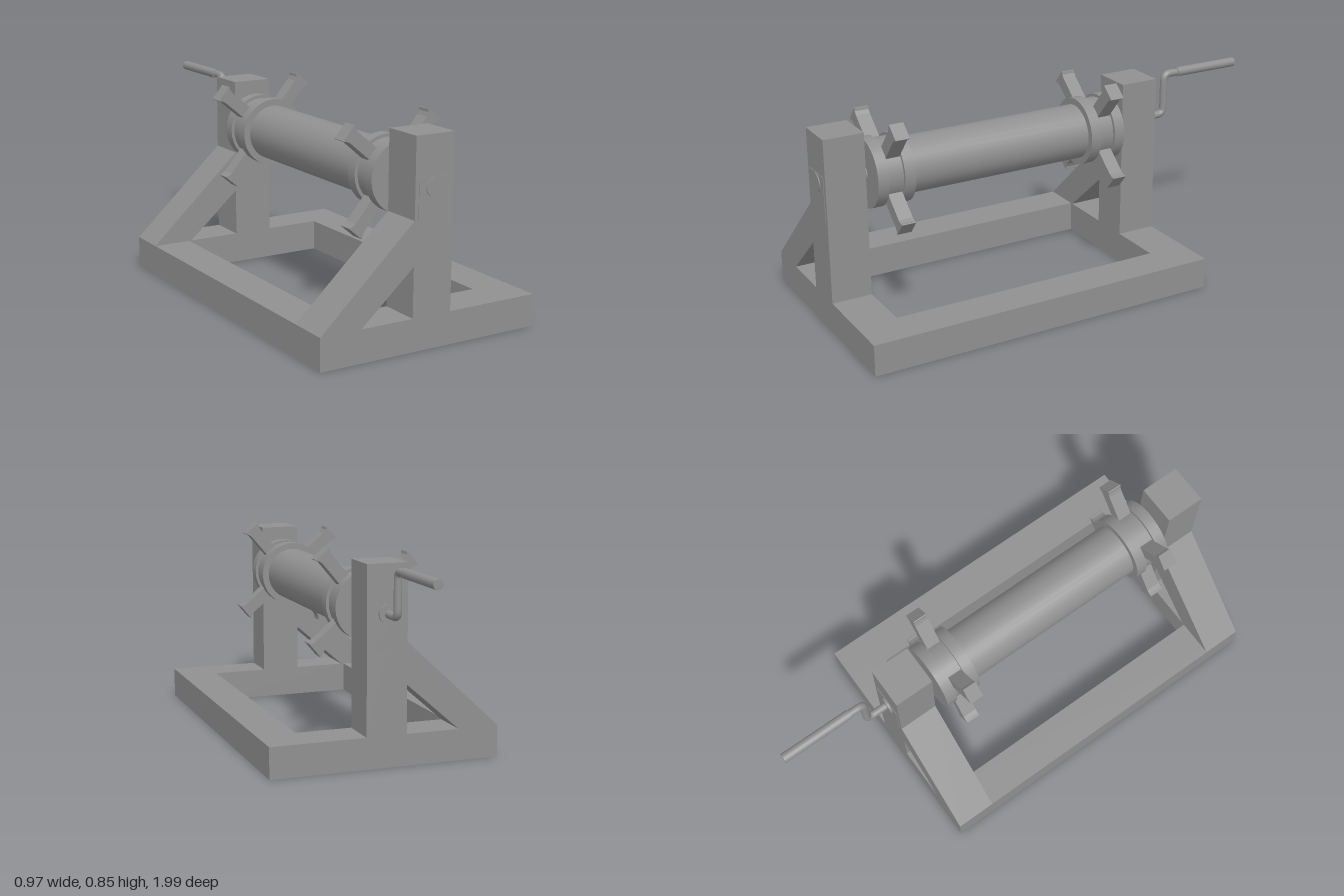
import * as THREE from 'three';

const AXIS_Y = 0.615;
const BASE_H = 0.13;
const POST_Z = [0.9, -0.445]; // front and back frame centres
const FRAME_D = 0.168;

export function createModel() {
  const grey = new THREE.MeshStandardMaterial({ color: 0x909090 });
  grey.name = 'grey';
  const greyOpen = grey.clone();
  greyOpen.name = 'grey';
  greyOpen.side = THREE.DoubleSide;

  const model = new THREE.Group();
  model.name = 'windlass';

  const add = (name, geo, x = 0, y = 0, z = 0, mat = grey) => {
    const mesh = new THREE.Mesh(geo, mat);
    mesh.name = name;
    mesh.position.set(x, y, z);
    model.add(mesh);
    return mesh;
  };
  const box = (name, w, h, d, x, y, z) => add(name, new THREE.BoxGeometry(w, h, d), x, y, z);
  const polygon = (pts) => new THREE.Shape(pts.map(([x, y]) => new THREE.Vector2(x, y)));
  const extrude = (pts, depth) =>
    new THREE.ExtrudeGeometry(polygon(pts), { depth, bevelEnabled: false }).translate(0, 0, -depth / 2);
  // cylinder lying along z between z0 and z1
  const rod = (name, r, z0, z1, y = AXIS_Y, sides = 32) =>
    add(name, new THREE.CylinderGeometry(r, r, Math.abs(z1 - z0), sides).rotateX(Math.PI / 2), 0, y, (z0 + z1) / 2);

  // Side beams: box channels left open underneath
  const zFront = POST_Z[0] + FRAME_D / 2, zBack = POST_Z[1] - FRAME_D / 2;
  for (const s of [1, -1]) {
    const geo = new THREE.BoxGeometry(0.162, BASE_H, zFront - zBack);
    const idx = Array.from(geo.index.array);
    idx.splice(18, 6); // drop the bottom face
    geo.setIndex(idx);
    geo.clearGroups();
    add('sideBeam', geo, s * 0.402, BASE_H / 2, (zFront + zBack) / 2, greyOpen);
  }

  // End frames: cross beam, post, diagonal brace and bearing plate
  POST_Z.forEach((z, i) => {
    const out = i === 0 ? 1 : -1;
    box('crossBeam', 0.642, BASE_H, FRAME_D, 0, BASE_H / 2, z);
    box('post', 0.17, 0.812 - BASE_H, FRAME_D, 0, (0.812 + BASE_H) / 2, z);
    add('brace', extrude([[-0.483, 0.13], [-0.31, 0.13], [-0.085, 0.328], [-0.085, 0.5]], FRAME_D), 0, 0, z);
    box('bearingPlate', 0.138, 0.185, 0.004, 0, 0.563, z + out * FRAME_D / 2);
  });

  // Axle and drum
  rod('axle', 0.038, 0.99, -0.54);
  rod('drum', 0.115, 0.64, -0.19);

  // Spoke wheels: two flanges around a hub with four flared handles
  const spoke = [[0.1, -0.026], [0.245, -0.026], [0.262, -0.03], [0.272, -0.038],
    [0.275, -0.037], [0.275, 0.037], [0.272, 0.038], [0.262, 0.03], [0.245, 0.026], [0.1, 0.026]];
  for (const z of [0.71, -0.255]) {
    rod('hub', 0.13, z + 0.05, z - 0.05);
    for (const s of [1, -1]) rod('flange', 0.143, z + s * 0.08, z + s * 0.033);
    for (let k = 0; k < 4; k++) {
      const arm = add('spoke', extrude(spoke, 0.06), 0, AXIS_Y, z);
      arm.rotation.z = THREE.MathUtils.degToRad(50 + 90 * k);
    }
  }

  // Crank with rounded bends and a thicker grip
  const v = (y, z) => new THREE.Vector3(0, y, z);
  const top = 0.795, bend = 0.03, zArm = -0.63;
  const path = new THREE.CurvePath();
  path.add(new THREE.LineCurve3(v(AXIS_Y, -0.52), v(AXIS_Y, zArm + bend)));
  path.add(new THREE.QuadraticBezierCurve3(v(AXIS_Y, zArm + bend), v(AXIS_Y, zArm), v(AXIS_Y + bend, zArm)));
  path.add(new THREE.LineCurve3(v(AXIS_Y + bend, zArm), v(top - bend, zArm)));
  path.add(new THREE.QuadraticBezierCurve3(v(top - bend, zArm), v(top, zArm), v(top, zArm - bend)));
  path.add(new THREE.LineCurve3(v(top, zArm - bend), v(top, -0.71)));
  add('crankArm', new THREE.TubeGeometry(path, 60, 0.016, 14, false));
  rod('crankGrip', 0.02, -0.695, -1.0, top, 20);

  return model;
}
